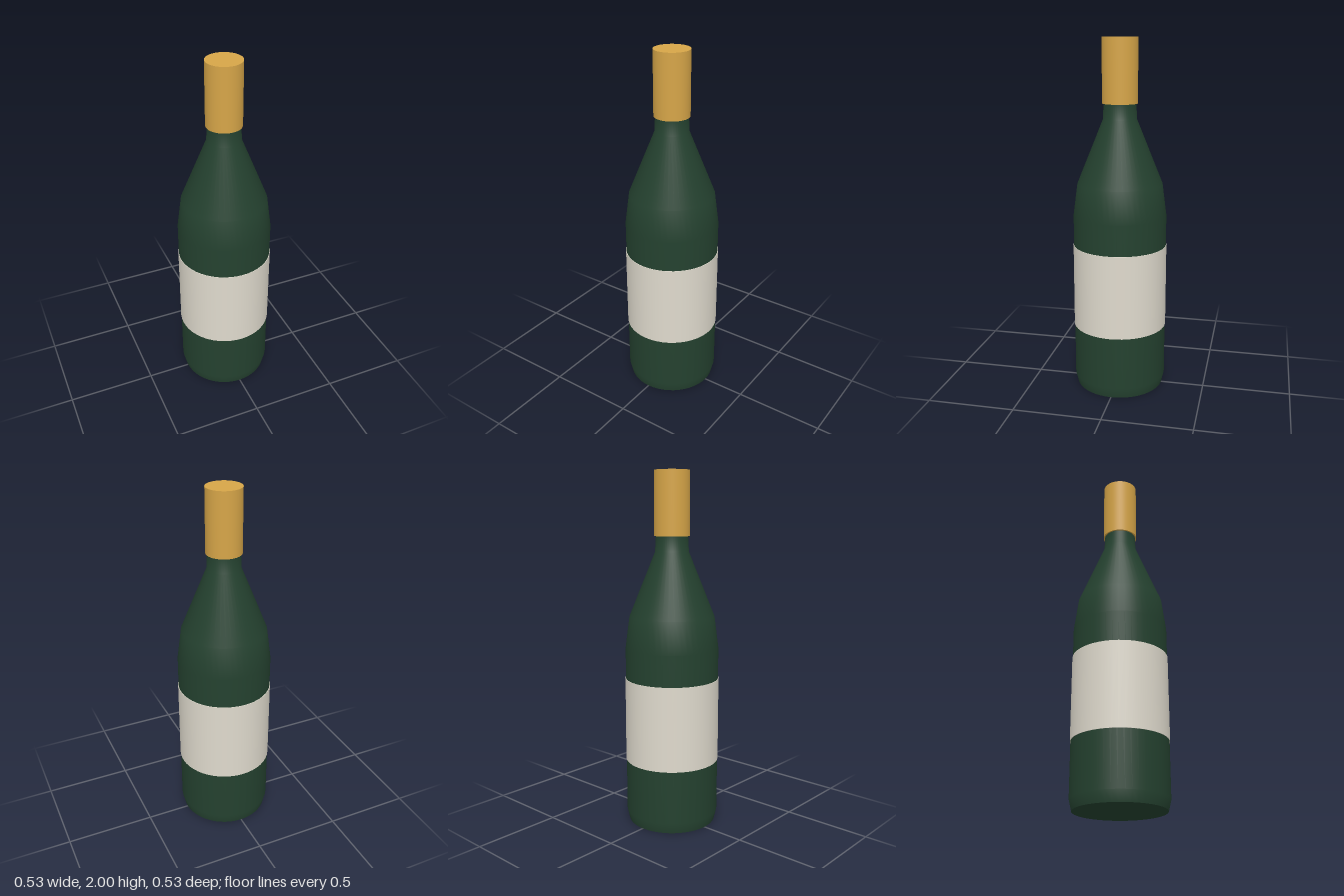
import * as THREE from 'three';

const SEGMENTS = 48;

function material(name, color, side = THREE.FrontSide) {
  const m = new THREE.MeshStandardMaterial({ color, side });
  m.name = name;
  return m;
}

export function createModel() {
  const group = new THREE.Group();
  group.name = 'bottle';

  const glass = material('dark green glass', 0x24412f);
  const paper = material('cream paper', 0xdfdacd);
  const foil = material('gold foil', 0xd6a548);

  const add = (name, geometry, mat, y = 0) => {
    const mesh = new THREE.Mesh(geometry, mat);
    mesh.name = name;
    mesh.position.y = y;
    group.add(mesh);
    return mesh;
  };

  // Glass body: chamfered foot, straight wall, sloping shoulder, neck
  const profile = [
    [0.25, 0], [0.264, 0.06], [0.264, 1.02], [0.24, 1.2],
    [0.094, 1.56], [0.09, 1.66], [0.09, 1.98],
  ].map(([r, y]) => new THREE.Vector2(r, y));
  add('glassBody', new THREE.LatheGeometry(profile, SEGMENTS), glass);

  // Flat underside
  const base = add('base', new THREE.CircleGeometry(0.25, SEGMENTS), glass);
  base.rotation.x = Math.PI / 2;

  // Paper label wrapped all the way round
  add('label', new THREE.CylinderGeometry(0.267, 0.267, 0.48, SEGMENTS), paper, 0.605);

  // Foil capsule over the mouth
  add('foilCapsule', new THREE.CylinderGeometry(0.099, 0.099, 0.355, SEGMENTS), foil, 1.8225);

  return group;
}
